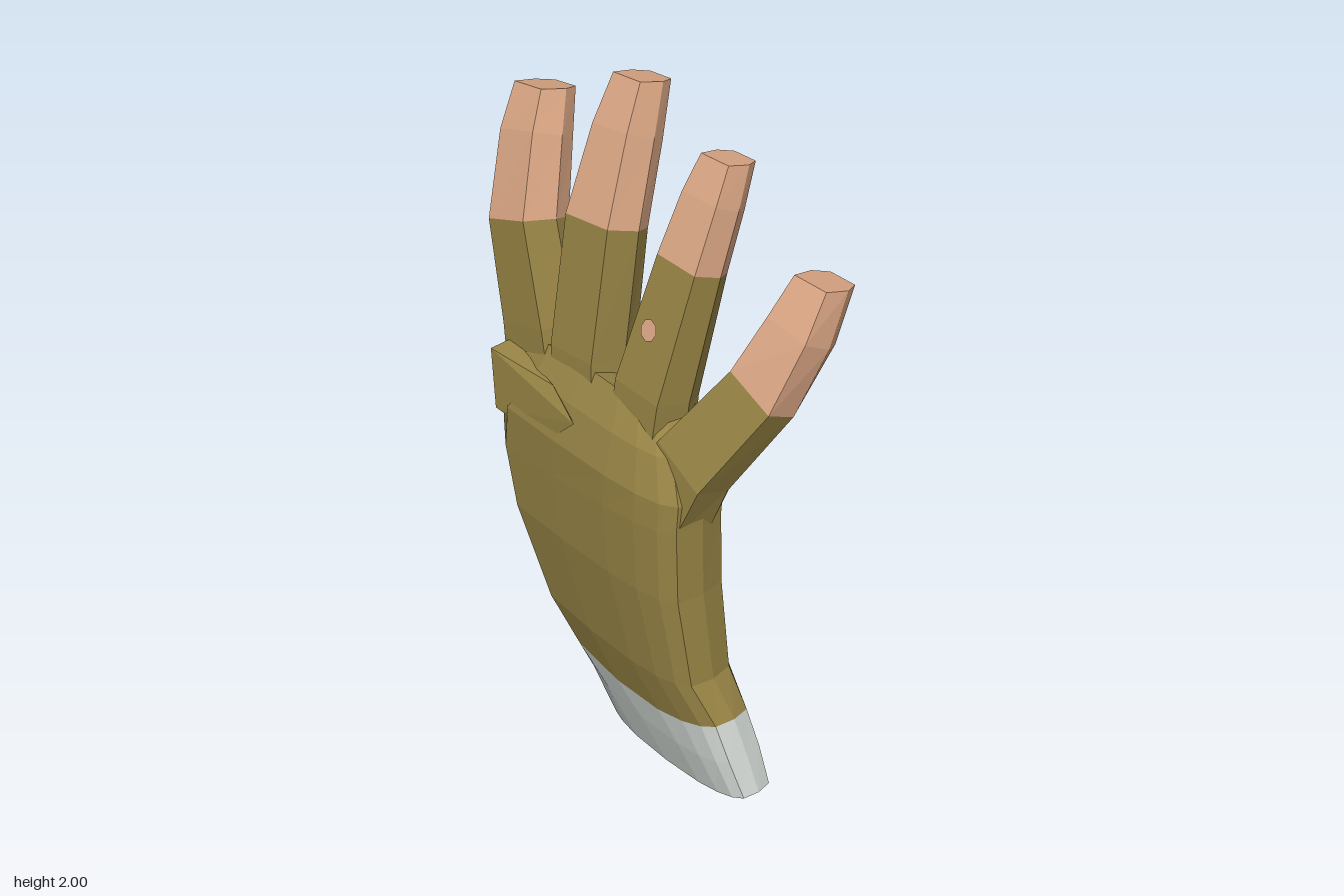
import * as THREE from 'three';
import { ConvexGeometry } from 'three/addons/geometries/ConvexGeometry.js';

const mat = (name, color, side = THREE.FrontSide) => {
  const m = new THREE.MeshStandardMaterial({ color, flatShading: true, side });
  m.name = name;
  return m;
};

// Skin over a stack of closed rings, each running from +x towards +z
function loft(rings, capTop) {
  const pos = [];
  const tri = (...pts) => pts.forEach((p) => pos.push(p.x, p.y, p.z));
  const n = rings[0].length;
  for (let r = 0; r < rings.length - 1; r++) {
    for (let i = 0; i < n; i++) {
      const j = (i + 1) % n, a = rings[r], b = rings[r + 1];
      tri(a[i], b[i], a[j]);
      tri(b[i], b[j], a[j]);
    }
  }
  if (capTop) {
    const top = rings[rings.length - 1];
    const c = new THREE.Vector3();
    top.forEach((p) => c.addScaledVector(p, 1 / n));
    top.forEach((p, i) => tri(c, top[(i + 1) % n], p));
  }
  const g = new THREE.BufferGeometry();
  g.setAttribute('position', new THREE.Float32BufferAttribute(pos, 3));
  g.computeVertexNormals();
  return g;
}

// Six-sided section, broad at the front, swept along a finger; stations are [x, y, z, halfWidth, halfDepth]
const SECTION = [[1, -0.2], [0.85, 1], [-0.85, 1], [-1, -0.2], [-0.65, -1], [0.65, -1]];
const UP = new THREE.Vector3(0, 1, 0);
function fingerRings(stations) {
  const centres = stations.map((s) => new THREE.Vector3(s[0], s[1], s[2]));
  const last = centres.length - 1;
  return stations.map((s, k) => {
    const t = centres[Math.min(k + 1, last)].clone()
      .sub(centres[Math.max(k - 1, 0)]).normalize();
    if (k === last) t.lerp(UP, 0.55).normalize(); // fingertips are cut nearly level
    const side = new THREE.Vector3(t.y, -t.x, 0).normalize();
    const depth = side.clone().cross(t);
    return SECTION.map(([u, v]) => centres[k].clone()
      .addScaledVector(side, u * s[3]).addScaledVector(depth, v * s[4]));
  });
}

// Flattened oval across the hand: left edge, right edge, front z, back z, sag,
// z shift at right end, bevel that draws the thumb-side front edge back
function handRing([x0, y0, x1, y1, zf, zb, sag, skew, bevel]) {
  const ring = [], n = 20;
  for (let i = 0; i < n; i++) {
    const a = (i / n) * Math.PI * 2, c = Math.cos(a), s = Math.sin(a);
    const u = Math.sign(c) * Math.abs(c) ** 0.65;
    const v = Math.sign(s) * Math.abs(s) ** 0.48;
    const w = (u + 1) / 2;
    const cut = bevel * Math.max(0, (-u - 0.5) / 0.5) * (v + 1) / 2;
    ring.push(new THREE.Vector3(
      x0 + (x1 - x0) * w,
      y0 + (y1 - y0) * w - sag * (1 - u * u),
      (zf + zb) / 2 + (v * (zf - zb)) / 2 + skew * u - cut,
    ));
  }
  return ring;
}

export function createModel() {
  const glove = mat('olive glove', 0x958244, THREE.DoubleSide);
  const skin = mat('skin', 0xdaa684);
  const cloth = mat('grey cuff', 0xc4cac6, THREE.DoubleSide);
  const group = new THREE.Group();
  group.name = 'glovedHand';
  const add = (name, geometry, material, parent = group) => {
    const m = new THREE.Mesh(geometry, material);
    m.name = name;
    parent.add(m);
    return m;
  };

  // Slanted open cuff and palm share the seam ring
  const seam = [-0.3, 0.335, 0.52, 0.34, 0.15, -0.055, 0.08, 0.01, 0.04];
  add('cuff', loft([
    [-0.045, 0, 0.63, 0.14, 0.11, -0.06, 0.025, 0.03, 0],
    [-0.17, 0.18, 0.575, 0.24, 0.135, -0.065, 0.04, 0.02, 0.02],
    seam,
  ].map(handRing), false), cloth);
  add('palm', loft([
    seam,
    [-0.38, 0.44, 0.455, 0.46, 0.195, -0.05, 0.02, 0.01, 0.09],
    [-0.5, 0.72, 0.425, 0.75, 0.235, -0.04, 0, 0.005, 0.15],
    [-0.55, 0.9, 0.42, 0.98, 0.24, -0.035, 0, 0.005, 0.17],
    [-0.52, 1.06, 0.42, 1.06, 0.24, -0.035, 0, 0, 0.15],
    [-0.39, 1.19, 0.36, 1.17, 0.205, -0.03, 0, 0, 0.04],
    [-0.34, 1.24, 0.29, 1.24, 0.15, -0.02, -0.04, 0, 0],
  ].map(handRing), true), glove);

  // Creased fold across the palm under the first finger
  add('palmFold', new ConvexGeometry([
    [-0.52, 1.06, 0.06], [-0.37, 1.2, 0.215], [-0.33, 1.03, 0.235], [-0.35, 1.22, 0.15],
    [0.03, 1.15, 0.23], [-0.1, 1.2, 0.2], [-0.1, 1.03, 0.235], [-0.2, 1.1, 0.1],
  ].map((p) => new THREE.Vector3(...p))), glove);

  // Fingers: sleeve up to the given station, bare skin beyond it
  const digits = {
    indexFinger: [2, [
      [-0.25, 1.08, 0.08, 0.12, 0.09], [-0.29, 1.28, 0.075, 0.11, 0.085], [-0.385, 1.55, 0.05, 0.1, 0.083],
      [-0.44, 1.76, -0.025, 0.092, 0.074], [-0.47, 1.88, -0.08, 0.072, 0.064]]],
    middleFinger: [2, [
      [-0.05, 1.08, 0.09, 0.11, 0.09], [-0.07, 1.28, 0.075, 0.105, 0.085], [-0.1, 1.63, 0, 0.105, 0.078],
      [-0.125, 1.85, -0.09, 0.085, 0.07], [-0.14, 1.985, -0.15, 0.065, 0.058]]],
    ringFinger: [2, [
      [0.19, 1.08, 0.09, 0.1, 0.09], [0.195, 1.28, 0.07, 0.1, 0.083], [0.215, 1.62, -0.025, 0.085, 0.067],
      [0.22, 1.78, -0.085, 0.075, 0.06], [0.22, 1.885, -0.13, 0.06, 0.052]]],
    littleFinger: [2, [
      [0.3, 1.0, 0.09, 0.12, 0.09], [0.365, 1.14, 0.075, 0.105, 0.09], [0.495, 1.375, -0.03, 0.092, 0.08],
      [0.54, 1.54, -0.1, 0.08, 0.073], [0.548, 1.665, -0.16, 0.065, 0.058]]],
    thumb: [4, [
      [-0.24, 0.33, 0, 0.06, 0.05], [-0.33, 0.45, -0.03, 0.075, 0.08], [-0.405, 0.62, -0.06, 0.1, 0.095],
      [-0.515, 0.88, -0.12, 0.105, 0.11], [-0.55, 1.08, -0.14, 0.095, 0.098],
      [-0.525, 1.17, -0.15, 0.09, 0.085], [-0.525, 1.255, -0.16, 0.06, 0.062]]],
  };
  const rings = {};
  for (const [name, [split, stations]] of Object.entries(digits)) {
    const digit = new THREE.Group();
    digit.name = name;
    group.add(digit);
    const r = (rings[name] = fingerRings(stations));
    add(name + 'Sleeve', loft(r.slice(0, split + 1), false), glove, digit);
    add(name + 'Tip', loft(r.slice(split), true), skin, digit);
  }

  // Small round hole showing skin, laid on the front face of the ring finger
  const [low, high] = [1, 2].map((k) => rings.ringFinger[k][1].clone().lerp(rings.ringFinger[k][2], 0.5));
  const up = high.clone().sub(low).normalize();
  const normal = new THREE.Vector3(1, 0, 0).cross(up).normalize();
  const hole = add('sleeveHole', new THREE.CircleGeometry(0.03, 8), skin);
  hole.position.copy(low).lerp(high, (1.46 - low.y) / (high.y - low.y)).addScaledVector(normal, 0.005);
  hole.position.x = 0.187;
  hole.quaternion.setFromUnitVectors(new THREE.Vector3(0, 0, 1), normal);

  return group;
}
